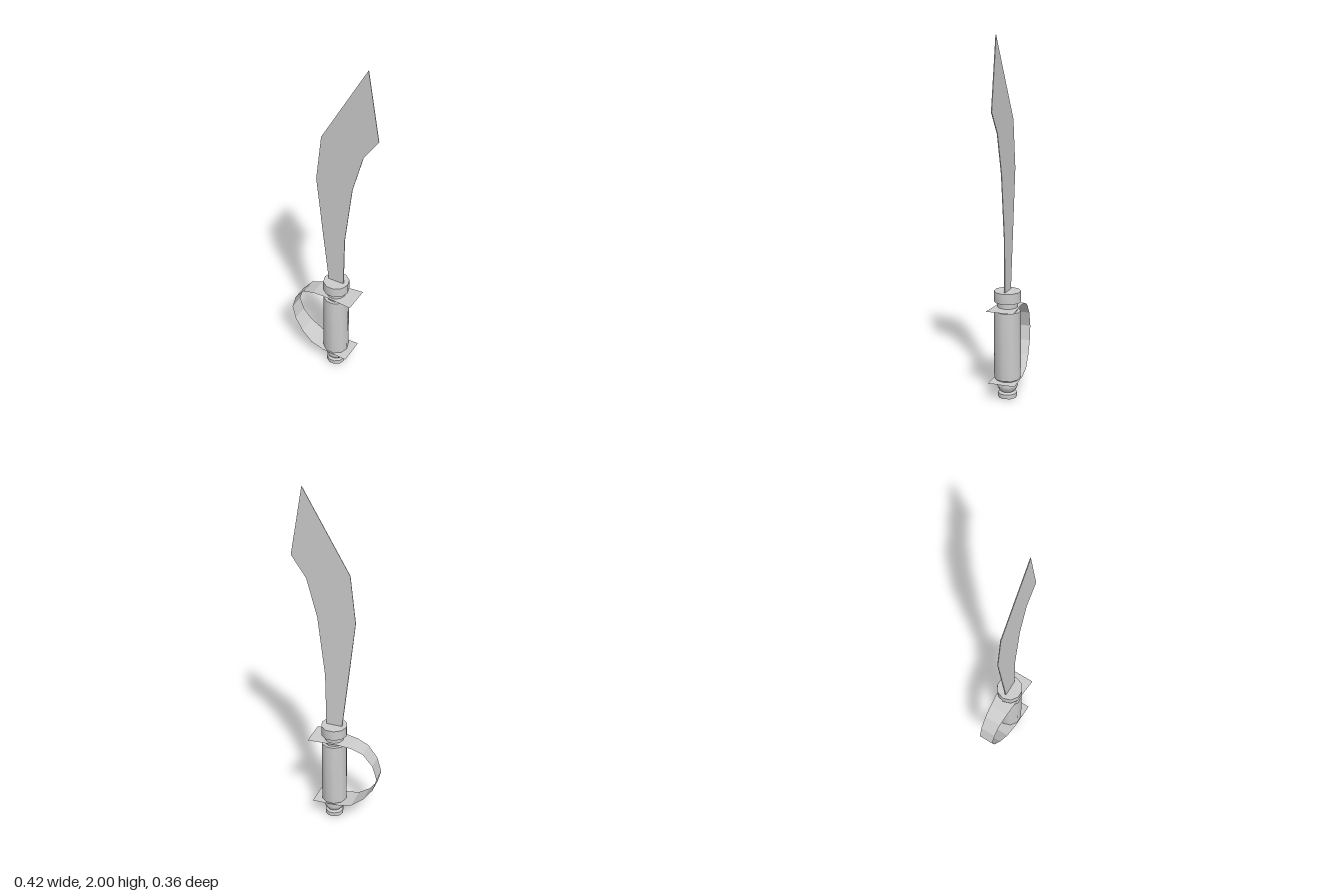
import * as THREE from 'three';
import { toCreasedNormals } from 'three/addons/utils/BufferGeometryUtils.js';

const pts = (list) => list.map(([x, y]) => new THREE.Vector2(x, y));

// Turned part with ten sides, smooth around and sharp at the rims
function turned(name, profile, material) {
  const lathe = new THREE.LatheGeometry(pts(profile), 10, Math.PI / 2);
  const mesh = new THREE.Mesh(toCreasedNormals(lathe, 0.7), material);
  mesh.name = name;
  return mesh;
}

export function createModel() {
  const model = new THREE.Group();
  model.name = 'sabre';
  const grey = new THREE.MeshStandardMaterial({ color: 0xcccccc });
  const sheet = new THREE.MeshStandardMaterial({
    color: 0xcccccc, flatShading: true, side: THREE.DoubleSide,
  });

  // The sabre is built along its own axis, then turned into place
  const sabre = new THREE.Group();
  sabre.name = 'turnedSabre';
  sabre.position.set(0.025, 0, 0.025);
  sabre.rotation.y = -0.704;
  model.add(sabre);

  // Thin blade that widens and sweeps forward, slightly thicker at its root
  const outline = new THREE.Shape(pts([
    [-0.046, 0.6], [0.046, 0.6], [0.052, 0.93], [0.094, 1.28], [0.154, 1.5],
    [0.238, 1.62], [0.17, 2], [-0.092, 1.55], [-0.124, 1.28], [-0.085, 0.93],
  ]));
  const bladeGeo = new THREE.ExtrudeGeometry(outline, { depth: 1, bevelEnabled: false });
  const p = bladeGeo.attributes.position;
  for (let i = 0; i < p.count; i++) {
    const half = p.getY(i) < 0.9 ? 0.004 : 0.002;
    p.setZ(i, (p.getZ(i) - 0.5) * 2 * half);
  }
  bladeGeo.computeVertexNormals();
  const blade = new THREE.Mesh(bladeGeo, sheet);
  blade.name = 'blade';
  sabre.add(blade);

  // Handle
  sabre.add(
    turned('pommel', [
      [0, 0], [0.054, 0], [0.054, 0.025], [0.04, 0.034], [0.052, 0.048],
      [0.058, 0.066], [0.056, 0.085], [0.06, 0.102], [0, 0.102],
    ], grey),
    turned('grip', [
      [0, 0.1], [0.062, 0.1], [0.074, 0.112], [0.075, 0.3], [0.074, 0.503], [0, 0.503],
    ], grey),
    turned('neck', [[0.056, 0.5], [0.056, 0.56]], grey),
    turned('collar', [[0, 0.556], [0.075, 0.556], [0.075, 0.616], [0, 0.616]], grey),
  );

  // Hand guard: one bent strip, as [x, y, half width] along its length
  const path = [
    [0.131, 0.527, 0.078], [-0.043, 0.525, 0.063], [-0.123, 0.515, 0.056],
    [-0.19, 0.488, 0.05], [-0.246, 0.418, 0.046], [-0.272, 0.33, 0.0435],
    [-0.25, 0.25, 0.048], [-0.2, 0.18, 0.056], [-0.13, 0.125, 0.066],
    [-0.05, 0.107, 0.072], [0.106, 0.104, 0.078],
  ];
  const guardGeo = new THREE.PlaneGeometry(1, 1, 1, path.length - 1);
  path.forEach(([x, y, w], i) => {
    guardGeo.attributes.position.setXYZ(2 * i, x, y, -w);
    guardGeo.attributes.position.setXYZ(2 * i + 1, x, y, w);
  });
  guardGeo.computeVertexNormals();
  const guard = new THREE.Mesh(guardGeo, sheet);
  guard.name = 'handGuard';
  sabre.add(guard);

  return model;
}
